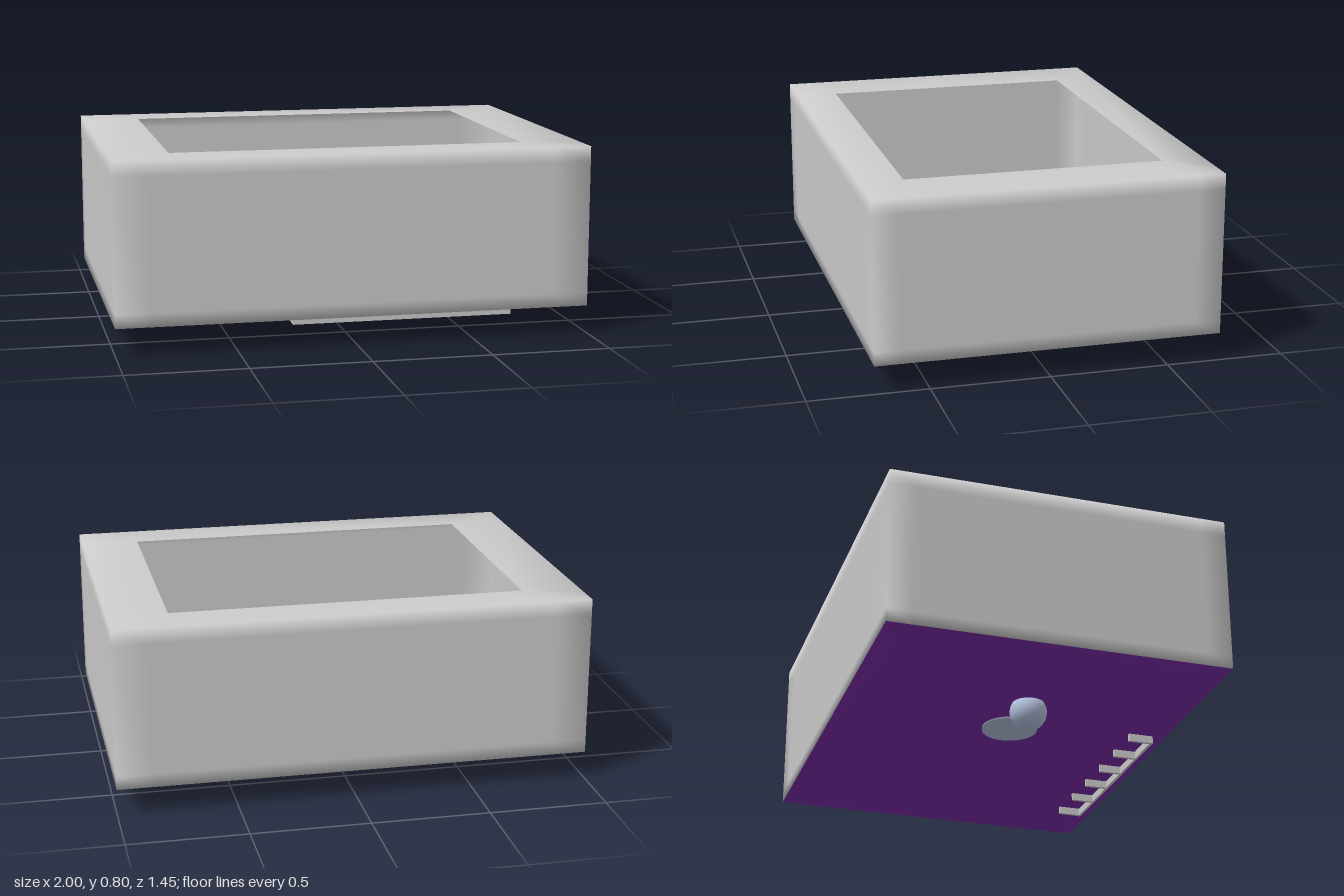
import * as THREE from 'three';

const mat = (color) => new THREE.MeshStandardMaterial({ color, side: THREE.DoubleSide });
const GREY = mat(0xcccccc);
const PURPLE = mat(0x7a2aa8);
const STEEL = mat(0xb4c0dc);
const DARK = mat(0x7c8494);

function add(parent, name, geometry, material, x = 0, y = 0, z = 0) {
  const mesh = new THREE.Mesh(geometry, material);
  mesh.name = name;
  mesh.position.set(x, y, z);
  parent.add(mesh);
  return mesh;
}

// Thin room shell: rectangular rings joined with shared, softly blended normals
function shellGeometry() {
  const k = 0.85;
  const outline = [[1, 1], [1, k], [1, -k], [1, -1], [k, -1], [-k, -1],
    [-1, -1], [-1, -k], [-1, k], [-1, 1], [-k, 1], [k, 1]];
  const rings = [ // y, half width, half depth
    [0.8, 0.75, 0.545], [0.8, 1, 0.725], [0.735, 1, 0.725],
    [0.175, 1, 0.725], [0.118, 1, 0.725], [0.118, 0.85, 0.6], [0.118, 0, 0],
  ];
  const positions = [], index = [], n = outline.length;
  for (const [y, w, d] of rings) for (const [x, z] of outline) positions.push(x * w, y, z * d);
  for (let i = 0; i < rings.length - 1; i++) {
    for (let j = 0; j < n; j++) {
      const a = i * n + j, b = i * n + (j + 1) % n;
      index.push(a, a + n, b + n, a, b + n, b);
    }
  }
  const g = new THREE.BufferGeometry();
  g.setAttribute('position', new THREE.Float32BufferAttribute(positions, 3));
  g.setIndex(index);
  g.computeVertexNormals();
  g.addGroup(0, 4 * n * 6, 0);
  g.addGroup(4 * n * 6, 2 * n * 6, 1);
  return g;
}

// Flat plate lying in the xz plane, its underside at y = 0
function plate(points, thickness) {
  const shape = new THREE.Shape(points.map(([x, z]) => new THREE.Vector2(x, -z)));
  const g = new THREE.ExtrudeGeometry(shape, { depth: thickness, bevelEnabled: false });
  return g.rotateX(-Math.PI / 2);
}

// Long shelving unit with a wavy front, standing at the front wall
function createShelves() {
  const group = new THREE.Group();
  group.name = 'shelves';
  const x0 = -0.26, x1 = 0.68, back = 0.67, bottom = 0.085, top = 0.34;
  const front = (x) => 0.56 - 0.022 * Math.max(0, Math.cos((x - 0.48) * Math.PI * 2 / 0.5));
  const outline = [[x1, back], [x0, back]];
  for (let i = 0; i <= 24; i++) {
    const x = x0 + (x1 - x0) * i / 24;
    outline.push([x, front(x)]);
  }
  for (let i = 0; i < 6; i++) {
    add(group, 'shelfBoard', plate(outline, i === 5 ? 0.014 : 0.008), GREY, 0, 0.125 + i * 0.042, 0);
  }
  for (let i = 0; i < 6; i++) {
    const x = x0 + 0.008 + (x1 - x0 - 0.016) * i / 5;
    add(group, 'upright', new THREE.BoxGeometry(0.014, top - bottom, 0.11), GREY, x, (top + bottom) / 2, back - 0.055);
  }
  add(group, 'shelfBack', new THREE.BoxGeometry(x1 - x0, top - bottom, 0.012), GREY,
    (x0 + x1) / 2, (top + bottom) / 2, back - 0.006);
  return group;
}

// Octagonal control desk on a round pedestal, with coloured buttons
function createConsole() {
  const group = new THREE.Group();
  group.name = 'console';
  group.position.set(-0.165, 0, 0.04);
  const profile = [[0, 0.108], [0.12, 0.108], [0.12, 0.135], [0.06, 0.15], [0.045, 0.18], [0.045, 0.3], [0.07, 0.32]]
    .map(([r, y]) => new THREE.Vector2(r, y));
  add(group, 'pedestal', new THREE.LatheGeometry(profile, 40), STEEL);
  const octagon = (w, d, c) => [[w, d - c], [w - c, d], [c - w, d], [-w, d - c],
    [-w, c - d], [c - w, -d], [w - c, -d], [w, c - d]];
  add(group, 'deskRim', plate(octagon(0.1, 0.187, 0.035), 0.035), STEEL, 0, 0.315, 0);
  add(group, 'deskTop', plate(octagon(0.087, 0.172, 0.03), 0.005), DARK, 0, 0.349, 0);
  const buttons = [ // x, z, radius, colour
    [-0.045, -0.1, 0.012, 0xb040e0], [0.005, -0.098, 0.012, 0x40d0d0], [0.055, -0.113, 0.012, 0xd02050],
    [-0.045, -0.035, 0.014, 0xf02010], [0.005, -0.035, 0.014, 0xf08010], [0.055, -0.035, 0.009, 0xe02020],
    [-0.037, 0.037, 0.012, 0xf0a020], [0.005, 0.037, 0.012, 0x30c860], [0.055, 0.052, 0.013, 0x1020e0],
    [-0.045, 0.125, 0.009, 0xc02080], [0.005, 0.102, 0.012, 0x30c0e0], [0.055, 0.117, 0.013, 0xe01818],
  ];
  for (const [x, z, r, color] of buttons) {
    add(group, 'button', new THREE.SphereGeometry(r, 16, 10), mat(color), x, 0.354, z);
  }
  return group;
}

// Ball-footed stool with a small neck
function createStool() {
  const group = new THREE.Group();
  group.name = 'stool';
  group.position.set(-0.425, 0, 0.04);
  add(group, 'ballFoot', new THREE.SphereGeometry(0.079, 32, 20), STEEL, 0, 0.079, 0);
  const neck = [[0.045, 0.13], [0.036, 0.16], [0.034, 0.21], [0.034, 0.222], [0, 0.226]]
    .map(([r, y]) => new THREE.Vector2(r, y));
  add(group, 'neck', new THREE.LatheGeometry(neck, 28), STEEL);
  return group;
}

export function createModel() {
  const model = new THREE.Group();
  model.name = 'room';
  add(model, 'wallsAndFloor', shellGeometry(), [GREY, PURPLE]);
  // Thin lining on the inside of the right wall
  add(model, 'wallPanel', new THREE.BoxGeometry(0.006, 0.6, 0.8), GREY, -0.99, 0.45, 0.17);
  model.add(createShelves(), createConsole(), createStool());
  return model;
}
